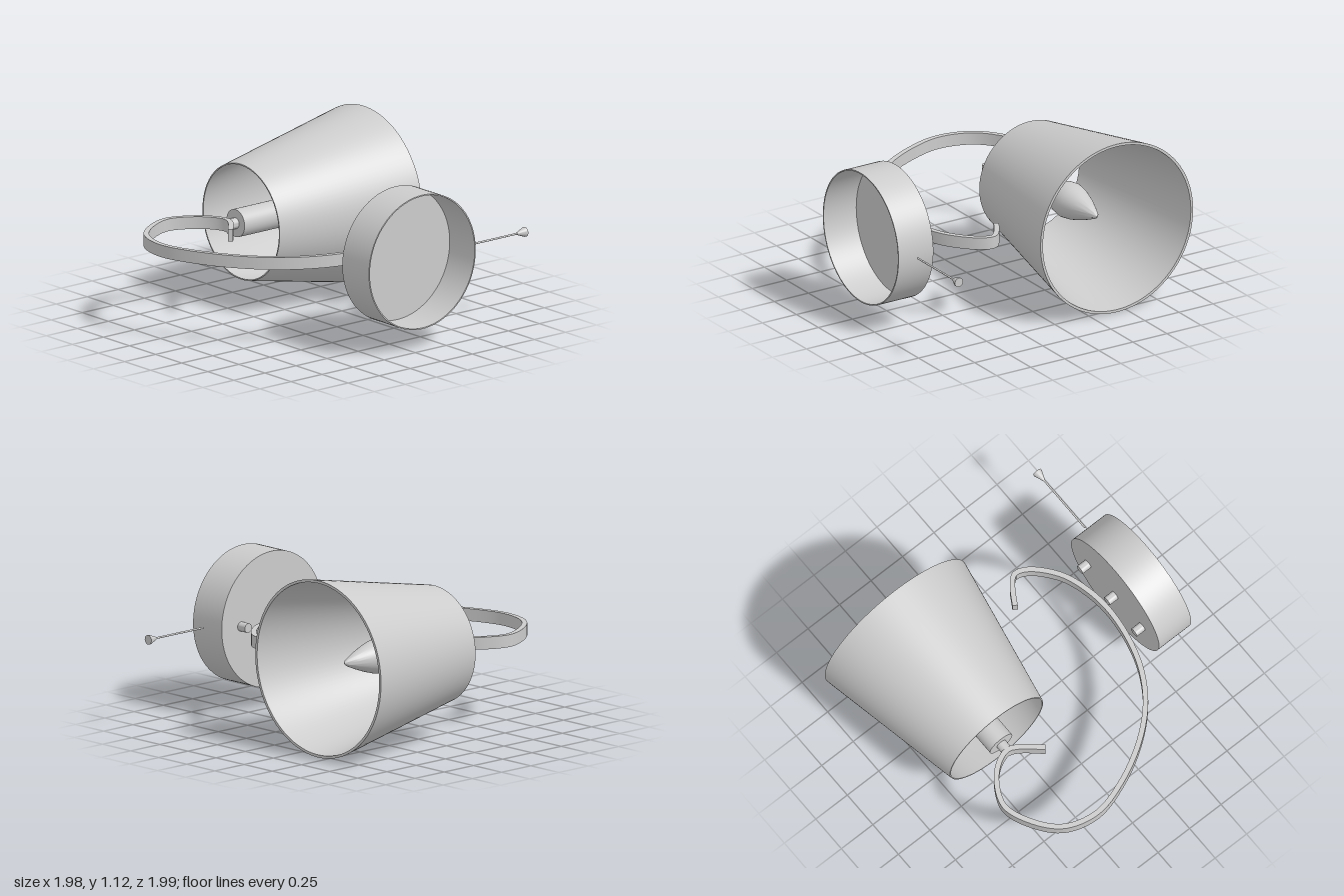
import * as THREE from 'three';
import { toCreasedNormals } from 'three/addons/utils/BufferGeometryUtils.js';

const CENTRE_Y = 0.565;
const metal = new THREE.MeshStandardMaterial({ color: 0xcccccc });
metal.name = 'light grey';

// Turned part: profile points are [radius, position along the axis]
function turned(name, profile, axis, x, y, z, segments = 64) {
  const points = profile.map(([r, t]) => new THREE.Vector2(r, t));
  let geometry = toCreasedNormals(new THREE.LatheGeometry(points, segments), 0.6);
  if (axis === 'z') geometry.rotateX(Math.PI / 2);
  else geometry.rotateZ(-Math.PI / 2);
  const mesh = new THREE.Mesh(geometry, metal);
  mesh.name = name;
  mesh.position.set(x, y, z);
  return mesh;
}

// Flat band following a curve in the horizontal plane
function band(name, path, thickness, height) {
  const curve = new THREE.CatmullRomCurve3(path.map(([x, z]) => new THREE.Vector3(x, -z, 0)));
  const steps = 120;
  const left = [], right = [];
  for (let i = 0; i <= steps; i++) {
    const p = curve.getPointAt(i / steps);
    const t = curve.getTangentAt(i / steps);
    const dx = -t.y * thickness / 2, dy = t.x * thickness / 2;
    left.push(new THREE.Vector2(p.x + dx, p.y + dy));
    right.unshift(new THREE.Vector2(p.x - dx, p.y - dy));
  }
  const shape = new THREE.Shape([...left, ...right]);
  const geometry = new THREE.ExtrudeGeometry(shape, { depth: height, bevelEnabled: false });
  geometry.rotateX(-Math.PI / 2);
  const mesh = new THREE.Mesh(toCreasedNormals(geometry, 0.6), metal);
  mesh.name = name;
  mesh.position.y = CENTRE_Y - height / 2;
  return mesh;
}

export function createModel() {
  const group = new THREE.Group();
  group.name = 'wallLamp';
  const sx = -0.43;

  // Tapered shade, open at both ends, with a thin lip on the wide rim
  group.add(turned('shade', [
    [0.543, -0.79], [0.56, -0.79], [0.557, -0.77], [0.37, 0.2],
    [0.362, 0.2], [0.543, -0.77], [0.543, -0.79],
  ], 'z', sx, CENTRE_Y, 0, 96));

  // Lamp holder and its neck
  group.add(turned('lampHolder', [
    [0, -0.16], [0.088, -0.16], [0.088, 0.245], [0, 0.245],
  ], 'z', sx, CENTRE_Y, 0, 48));
  group.add(turned('holderNeck', [
    [0, 0.24], [0.035, 0.24], [0.035, 0.31], [0, 0.31],
  ], 'z', sx, CENTRE_Y, 0, 32));

  // Candle-shaped bulb
  group.add(turned('bulb', [
    [0, -0.57], [0.022, -0.545], [0.05, -0.48], [0.08, -0.4], [0.104, -0.32],
    [0.115, -0.25], [0.108, -0.2], [0.085, -0.15], [0, -0.15],
  ], 'z', sx, CENTRE_Y, 0, 48));

  // Curved arm
  group.add(band('arm', [
    [0.2, -0.395], [0.265, -0.5], [0.325, -0.558], [0.41, -0.53], [0.55, -0.37],
    [0.615, -0.18], [0.632, 0], [0.605, 0.22], [0.54, 0.42], [0.42, 0.61],
    [0.23, 0.78], [-0.02, 0.915], [-0.26, 0.978], [-0.47, 0.925], [-0.6, 0.79],
    [-0.68, 0.59], [-0.62, 0.435], [-0.53, 0.345], [-0.435, 0.31],
    [-0.365, 0.34], [-0.24, 0.445],
  ], 0.033, 0.078));

  // Wall cup, hollow towards the wall
  group.add(turned('wallCup', [
    [0, 0.73], [0.43, 0.73], [0.43, 0.985], [0.422, 0.985], [0.422, 0.745], [0, 0.745],
  ], 'x', 0, 0.57, -0.07, 96));

  // Three studs on the face of the cup
  for (const z of [-0.335, -0.07, 0.195]) {
    group.add(turned('stud', [
      [0, 0.665], [0.03, 0.665], [0.03, 0.74], [0, 0.74],
    ], 'x', 0, CENTRE_Y, z, 24));
  }

  // Pull cord with a conical knob
  group.add(turned('pullCord', [
    [0, -0.95], [0.006, -0.95], [0.006, -0.53], [0, -0.53],
  ], 'z', 0.865, CENTRE_Y, 0, 12));
  group.add(turned('pullKnob', [
    [0, -1], [0.03, -1], [0.03, -0.99], [0.007, -0.93], [0, -0.93],
  ], 'z', 0.865, CENTRE_Y, 0, 24));

  return group;
}
